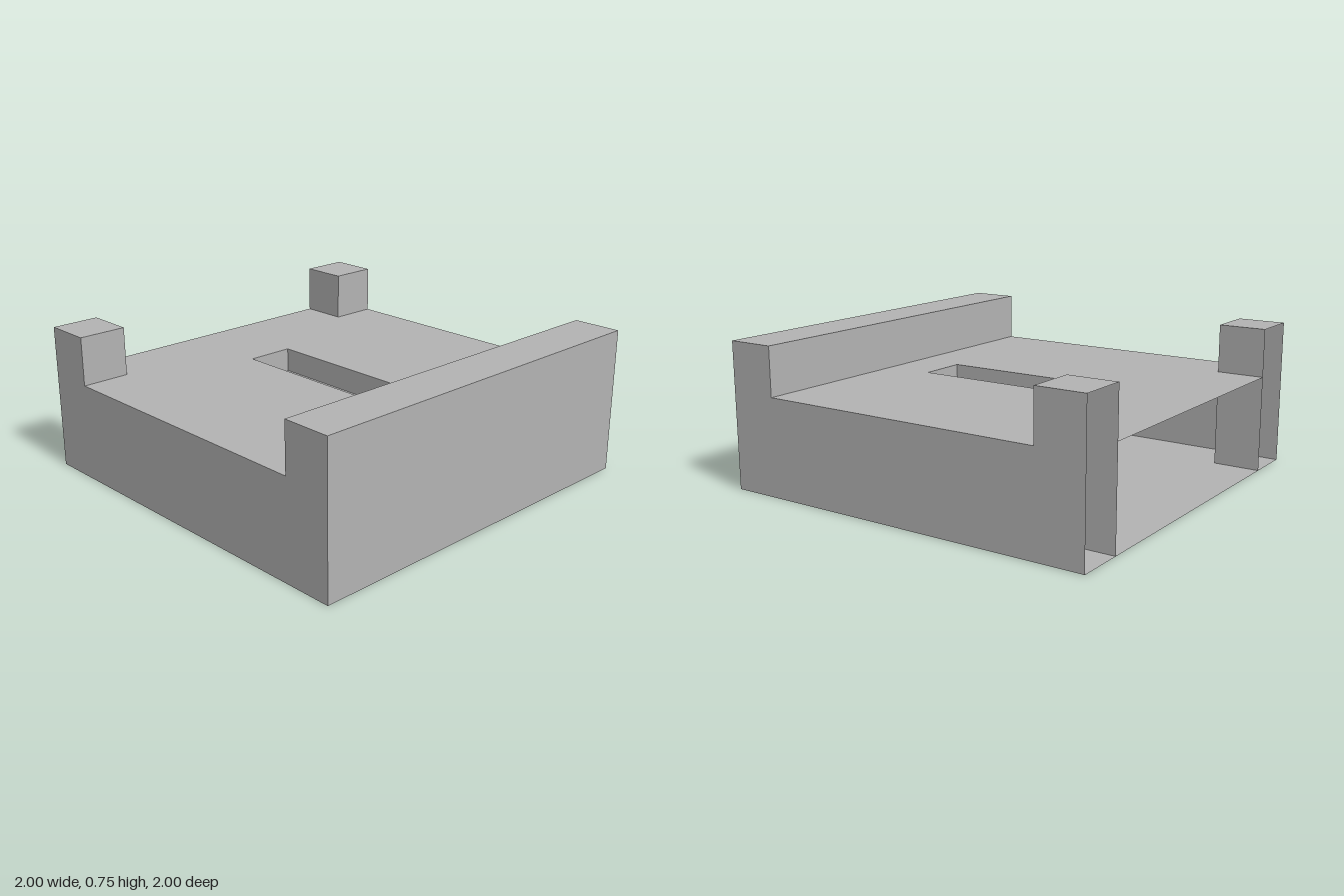
import * as THREE from 'three';

const H = 0.75, DECK = 0.5, IN = 0.75; // full height, deck height, inner edge of wall and posts

const poly = (pts) => pts.map(([x, y]) => new THREE.Vector2(x, y));
const rect = (x0, y0, x1, y1) => [[x0, y0], [x1, y0], [x1, y1], [x0, y1]];

export function createModel() {
  const root = new THREE.Group();
  root.name = 'slottedTray';
  const grey = new THREE.MeshStandardMaterial({ color: 0xb3b3b3, side: THREE.DoubleSide });
  grey.name = 'plain grey';

  // Thin sheet from an outline, turned to face one way and moved into place
  function sheet(parent, name, pts, facing, offset, hole) {
    const shape = new THREE.Shape(poly(pts));
    if (hole) shape.holes.push(new THREE.Path(poly(hole)));
    const g = new THREE.ShapeGeometry(shape);
    const q = Math.PI / 2;
    if (facing === 'up') g.rotateX(-q).translate(0, offset, 0);
    if (facing === 'down') g.rotateX(q).translate(0, offset, 0);
    if (facing === 'front') g.translate(0, 0, offset);
    if (facing === 'back') g.rotateY(2 * q).translate(0, 0, offset);
    if (facing === 'right') g.rotateY(q).translate(offset, 0, 0);
    if (facing === 'left') g.rotateY(-q).translate(offset, 0, 0);
    const mesh = new THREE.Mesh(g, grey);
    mesh.name = name;
    parent.add(mesh);
  }

  // Floor and deck; the deck is notched round the posts and has a slot
  const slot = rect(-0.5, -0.125, 0.5, 0.125);
  sheet(root, 'floor', rect(-1, -1, 1, 1), 'down', 0);
  sheet(root, 'deck', [[-IN, -1], [IN, -1], [IN, 1], [-IN, 1], [-IN, IN], [-1, IN], [-1, -IN], [-IN, -IN]],
    'up', DECK, slot);

  // U-shaped end walls
  const profile = [[-1, 0], [1, 0], [1, H], [IN, H], [IN, DECK], [-IN, DECK], [-IN, H], [-1, H]];
  sheet(root, 'frontWall', profile, 'front', 1);
  sheet(root, 'backWall', profile.map(([x, y]) => [-x, y]), 'back', -1);

  // Long raised side wall
  const rail = new THREE.Group();
  rail.name = 'sideWall';
  root.add(rail);
  sheet(rail, 'sideWallOuter', rect(-1, 0, 1, H), 'right', 1);
  sheet(rail, 'sideWallInner', rect(-1, 0, 1, H), 'left', IN);
  sheet(rail, 'sideWallTop', rect(IN, -1, 1, 1), 'up', H);

  // Corner posts, open on the outer side
  for (const s of [1, -1]) {
    const post = new THREE.Group();
    post.name = s > 0 ? 'frontPost' : 'backPost';
    root.add(post);
    const a = s > 0 ? -1 : IN; // sheet x runs along -z when facing right
    sheet(post, 'postInner', rect(a, 0, a + 0.25, H), 'right', -IN);
    sheet(post, 'postTop', rect(-1, a, -IN, a + 0.25), 'up', H);
    if (s > 0) sheet(post, 'postSide', rect(IN, 0, 1, H), 'back', IN);
    else sheet(post, 'postSide', rect(-1, 0, -IN, H), 'front', -IN);
  }

  // Shallow pocket under the slot
  const pocket = new THREE.Group();
  pocket.name = 'slotPocket';
  root.add(pocket);
  const low = DECK - 0.125;
  sheet(pocket, 'pocketFloor', slot, 'up', low);
  sheet(pocket, 'pocketBack', rect(-0.5, low, 0.5, DECK), 'front', -0.125);
  sheet(pocket, 'pocketFront', rect(-0.5, low, 0.5, DECK), 'back', 0.125);
  sheet(pocket, 'pocketRightEnd', rect(-0.125, low, 0.125, DECK), 'right', -0.5);
  sheet(pocket, 'pocketLeftEnd', rect(-0.125, low, 0.125, DECK), 'left', 0.5);

  return root;
}
